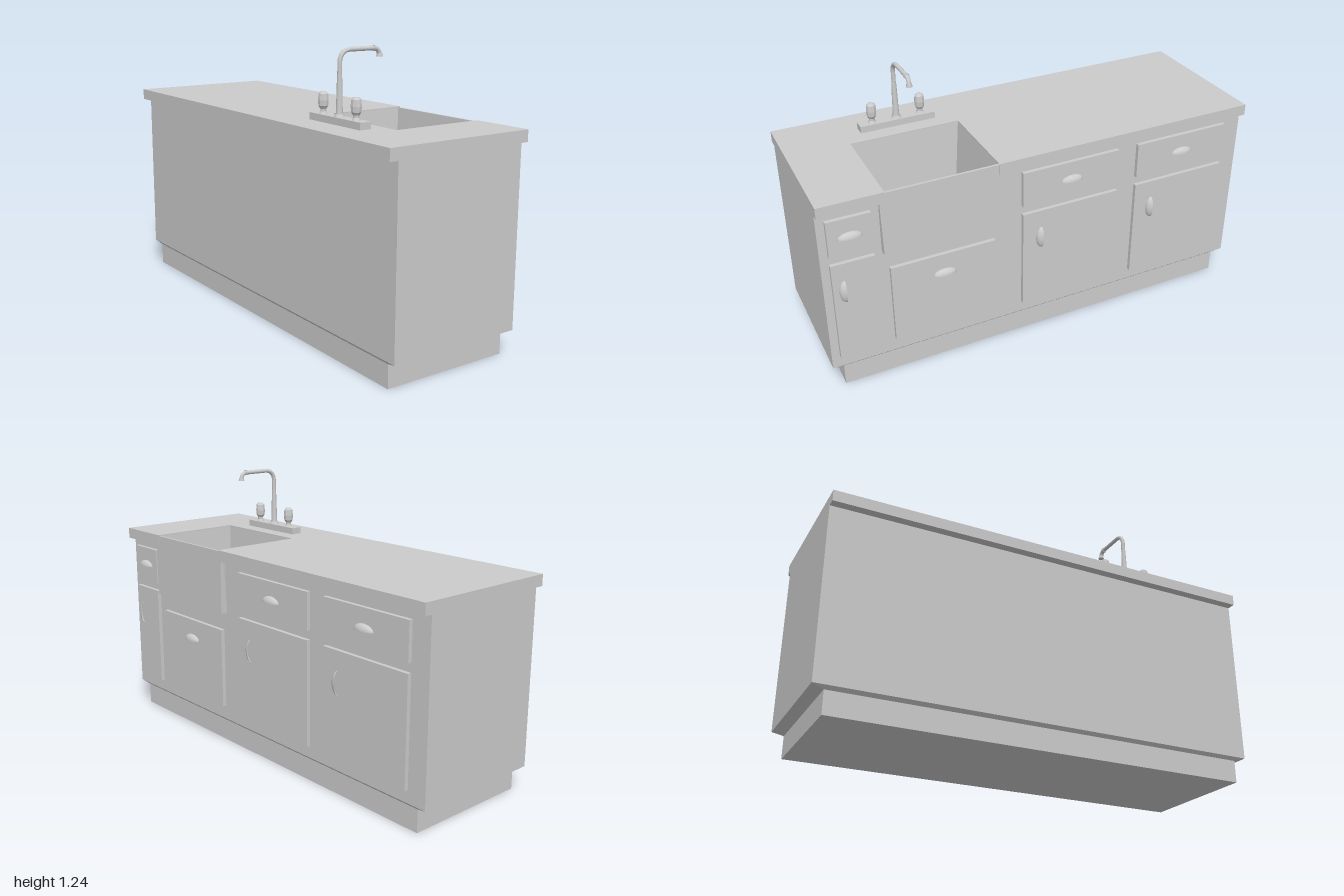
import * as THREE from 'three';

const flat = new THREE.MeshStandardMaterial({ color: 0xcccccc, flatShading: true });
const smooth = new THREE.MeshStandardMaterial({ color: 0xcccccc });
const thin = new THREE.MeshStandardMaterial({ color: 0xcccccc, side: THREE.DoubleSide });
const thinFlat = new THREE.MeshStandardMaterial({ color: 0xcccccc, side: THREE.DoubleSide, flatShading: true });

export function createModel() {
  const model = new THREE.Group();
  model.name = 'kitchenSinkCabinet';

  const add = (name, geometry, material = flat, parent = model) => {
    const mesh = new THREE.Mesh(geometry, material);
    mesh.name = name;
    parent.add(mesh);
    return mesh;
  };

  // Box between limits, given as [min, max] per axis
  const block = (x, y, z) =>
    new THREE.BoxGeometry(x[1] - x[0], y[1] - y[0], z[1] - z[0])
      .translate((x[0] + x[1]) / 2, (y[0] + y[1]) / 2, (z[0] + z[1]) / 2);

  // Box whose bottom has other x and z limits than its top
  const taper = (x, y, z, bx, bz) => {
    const g = block(x, y, z);
    const p = g.attributes.position;
    const middle = (y[0] + y[1]) / 2;
    for (let i = 0; i < p.count; i++) {
      if (p.getY(i) > middle) continue;
      p.setX(i, p.getX(i) < (x[0] + x[1]) / 2 ? bx[0] : bx[1]);
      p.setZ(i, p.getZ(i) < (z[0] + z[1]) / 2 ? bz[0] : bz[1]);
    }
    g.computeVertexNormals();
    return g;
  };

  // Slab with a notch open to the drawer side
  const notchedSlab = (x, y, z, notchX, notchZ) => {
    const outline = [
      [x[0], z[0]], [x[1], z[0]], [x[1], notchZ[0]], [notchX, notchZ[0]],
      [notchX, notchZ[1]], [x[1], notchZ[1]], [x[1], z[1]], [x[0], z[1]],
    ].map(([px, pz]) => new THREE.Vector2(px, -pz));
    return new THREE.ExtrudeGeometry(new THREE.Shape(outline), { depth: y[1] - y[0], bevelEnabled: false })
      .rotateX(-Math.PI / 2).translate(0, y[0], 0);
  };

  // Cabinet and countertop
  const bodyX = [-0.31, 0.305], plinthX = [-0.297, 0.29], fullZ = [-1, 1], plinthZ = [-0.95, 0.95];
  add('plinth', block(plinthX, [0, 0.102], plinthZ));
  add('bodyUnderside', taper(bodyX, [0.1, 0.115], fullZ, plinthX, plinthZ));
  add('lowerBody', block(bodyX, [0.115, 0.64], fullZ));
  add('upperBody', notchedSlab(bodyX, [0.64, 0.88], fullZ, -0.095, [0.23, 0.73]));
  add('countertop', notchedSlab([-0.35, 0.34], [0.88, 0.93], fullZ, -0.09, [0.235, 0.725]));

  // Sink: apron, open basin and drain
  add('sinkApron', taper([0.327, 0.338], [0.637, 0.926], [0.22, 0.75], [0.303, 0.338], [0.225, 0.745]));
  const basin = taper([-0.089, 0.327], [0.66, 0.926], [0.236, 0.724], [-0.072, 0.305], [0.26, 0.7]);
  const faces = Array.from(basin.index.array);
  faces.splice(12, 6); // leave the top open
  basin.setIndex(faces);
  basin.clearGroups();
  add('sinkBasin', basin, thinFlat);
  add('drain', new THREE.CylinderGeometry(0.027, 0.027, 0.004, 24).translate(0.07, 0.661, 0.47));

  // Cup handle: quarter shell, flat side down, bulging towards +x
  const handle = (name, x, y, z, upright) => {
    const shell = new THREE.SphereGeometry(1, 20, 8, Math.PI / 2, Math.PI, 0, Math.PI / 2);
    shell.scale(0.022, 0.027, 0.052);
    const mesh = add(name, shell, thin);
    if (upright) mesh.rotation.x = Math.PI / 2;
    mesh.position.set(x, y, z);
  };

  // Drawers above doors
  const front = 0.323;
  for (const z of [[0.78, 0.965], [-0.348, 0.118], [-0.91, -0.445]]) {
    add('drawer', block([0.3, front], [0.68, 0.845], z));
    add('door', block([0.3, front], [0.17, 0.64], z));
    handle('drawerHandle', front, 0.755, (z[0] + z[1]) / 2, false);
    handle('doorHandle', front, 0.505, z[1] - (z[0] > 0 ? 0.052 : 0.09), true);
  }
  add('sinkPanel', block([0.3, front], [0.18, 0.553], [0.25, 0.72]));
  handle('sinkPanelHandle', front, 0.455, 0.485, false);

  // Tap
  const tap = new THREE.Group();
  tap.name = 'tap';
  tap.position.set(-0.187, 0.93, 0.485);
  model.add(tap);
  const lathe = (points, sides) =>
    new THREE.LatheGeometry(points.map(([r, y]) => new THREE.Vector2(r, y)), sides);
  add('tapBase', block([-0.026, 0.026], [0, 0.03], [-0.17, 0.17]), flat, tap);
  for (const side of [-1, 1]) {
    const knob = lathe([[0.019, 0.028], [0.013, 0.04], [0.013, 0.05], [0.021, 0.062],
      [0.023, 0.085], [0.02, 0.112], [0.012, 0.12], [0, 0.121]], 10);
    add('tapKnob', knob.translate(0, 0, side * 0.11), flat, tap);
  }
  add('spoutFoot', lathe([[0.022, 0.029], [0.019, 0.038], [0.014, 0.045], [0.012, 0.14],
    [0.01, 0.2]], 16), smooth, tap);

  const v = (x, y) => new THREE.Vector3(x, y, 0);
  const path = new THREE.CurvePath();
  path.add(new THREE.LineCurve3(v(0, 0.05), v(0, 0.245)));
  path.add(new THREE.QuadraticBezierCurve3(v(0, 0.245), v(0.003, 0.292), v(0.05, 0.295)));
  path.add(new THREE.LineCurve3(v(0.05, 0.295), v(0.17, 0.295)));
  path.add(new THREE.QuadraticBezierCurve3(v(0.17, 0.295), v(0.197, 0.295), v(0.2, 0.264)));
  add('spout', new THREE.TubeGeometry(path, 60, 0.0095, 12), thin, tap);
  add('spoutRing', new THREE.CylinderGeometry(0.0125, 0.0125, 0.008, 16)
    .rotateZ(Math.PI / 2).translate(0.172, 0.295, 0), smooth, tap);
  add('spoutNozzle', new THREE.CylinderGeometry(0.011, 0.014, 0.014, 16).translate(0.2, 0.266, 0), smooth, tap);

  return model;
}
